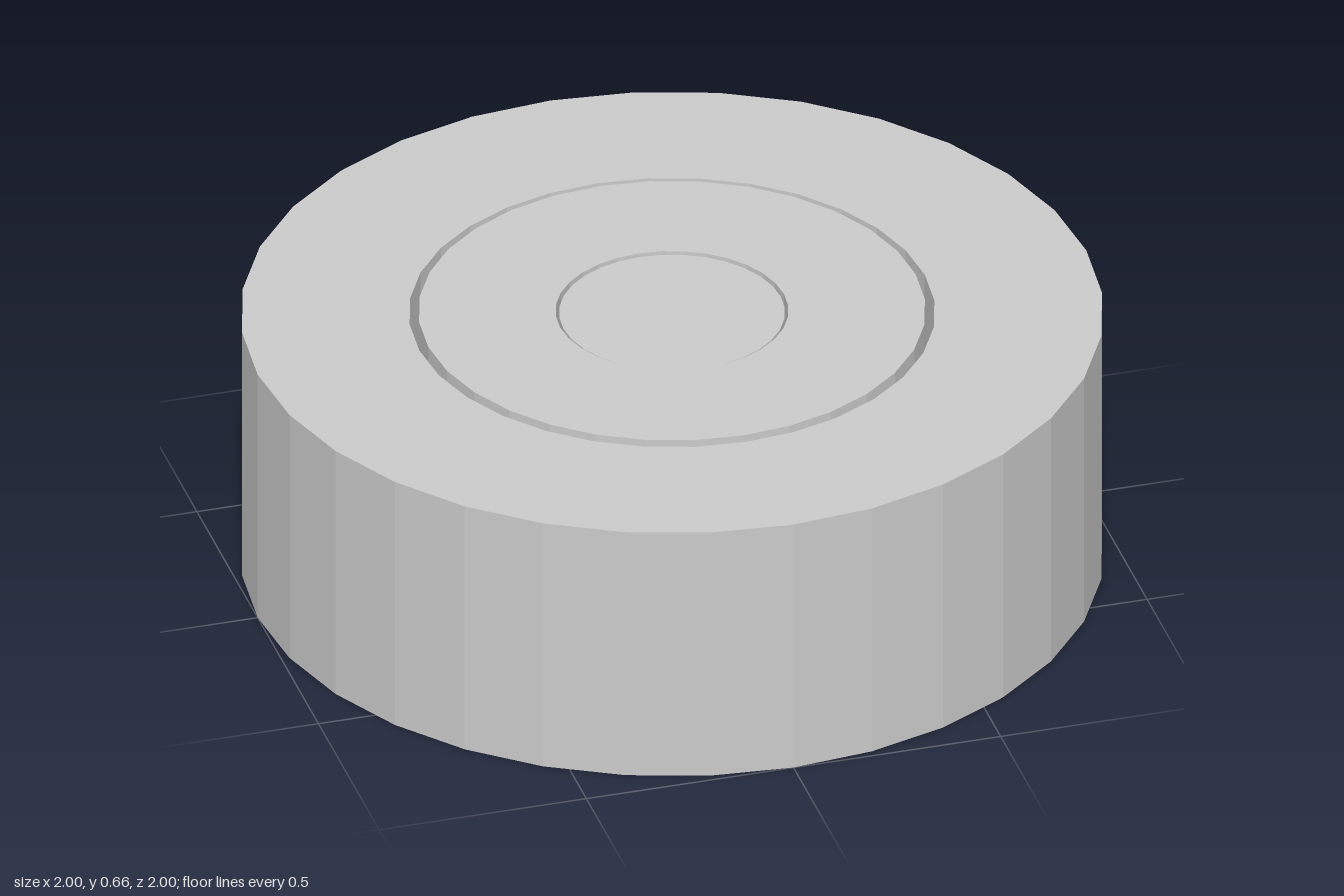
import * as THREE from 'three';

const SIDES = 32;

// Straight-walled faceted ring, or a solid disc when inner is 0
function makeRing(name, inner, outer, height, material) {
  const profile = [[inner, 0], [outer, 0], [outer, height], [inner, height]];
  if (inner > 0) profile.push([inner, 0]);
  const points = profile.map(([r, y]) => new THREE.Vector2(r, y));
  const mesh = new THREE.Mesh(new THREE.LatheGeometry(points, SIDES), material);
  mesh.name = name;
  return mesh;
}

export function createModel() {
  const group = new THREE.Group();
  group.name = 'nestedRings';
  const material = new THREE.MeshStandardMaterial({ color: 0xcccccc, flatShading: true });

  // Three concentric parts separated by thin through gaps
  group.add(
    makeRing('outerRing', 0.61, 1, 0.655, material),
    makeRing('middleRing', 0.27, 0.588, 0.66, material),
    makeRing('centreCore', 0, 0.262, 0.655, material),
  );
  return group;
}
